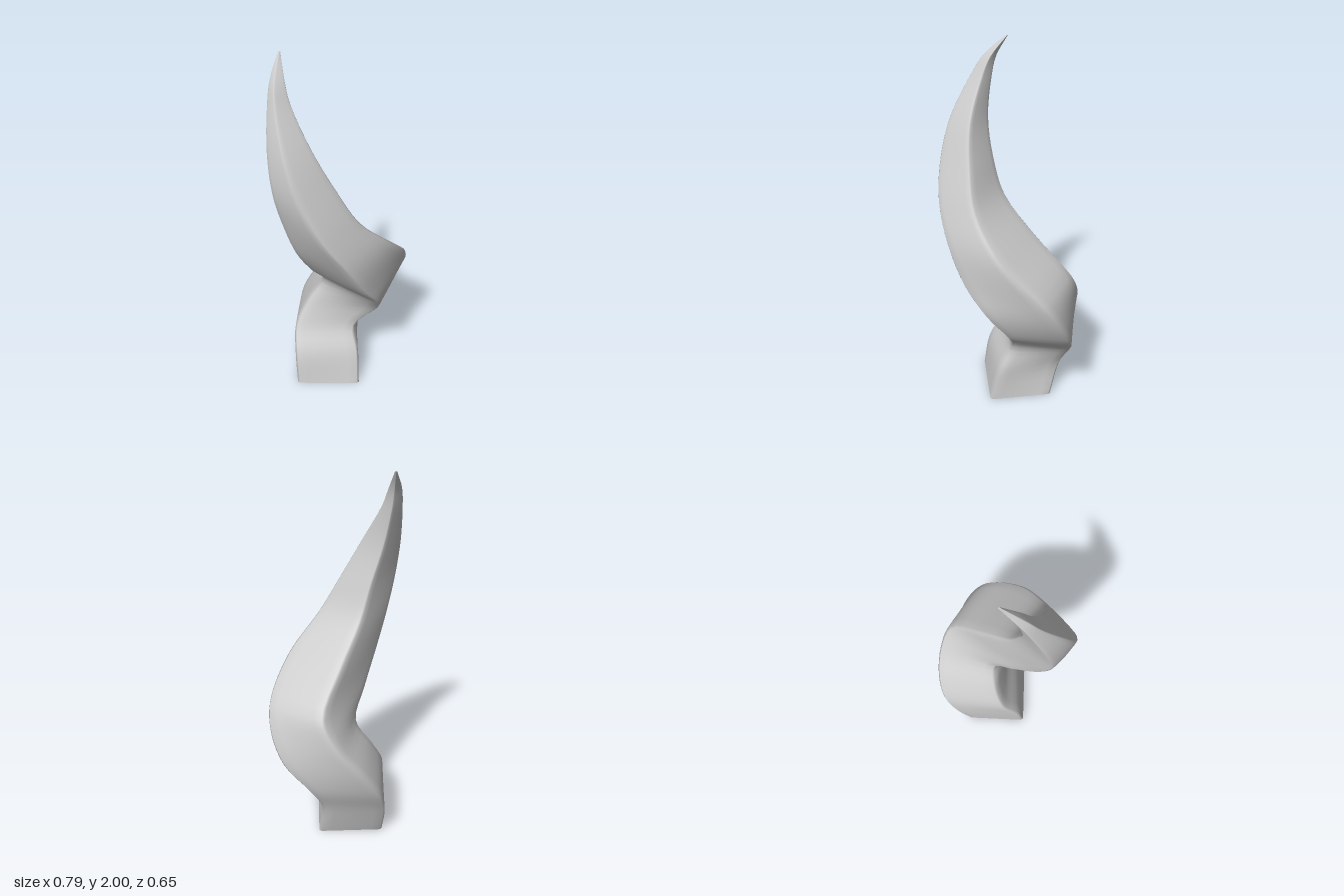
import * as THREE from 'three';

// Four-sided sections by height: y, then x, z of the
// front-left, front-right, back-right and back-left corners
const SECTIONS = [
  [0, 0.235, 0.03, -0.05, 0.235, -0.262, -0.06, 0.025, -0.262],
  [0.2, 0.262, -0.02, -0.01, 0.198, -0.237, -0.09, 0.085, -0.313],
  [0.35, 0.34, 0.02, 0.03, 0.14, -0.165, -0.14, 0.158, -0.325],
  [0.5, 0.395, 0.14, 0.07, 0.25, -0.082, -0.115, 0.24, -0.265],
  [0.65, 0.377, 0.235, -0.02, 0.322, -0.025, -0.05, 0.302, -0.155],
  [0.8, 0.3, 0.3, -0.145, 0.32, -0.145, -0.035, 0.3, -0.06],
  [1.0, 0.085, 0.325, -0.26, 0.285, -0.28, -0.03, 0.103, -0.033],
  [1.2, -0.105, 0.25, -0.36, 0.2, -0.347, -0.05, -0.085, -0.032],
  [1.4, -0.185, 0.16, -0.398, 0.105, -0.387, -0.072, -0.165, -0.05],
  [1.6, -0.235, 0.06, -0.384, 0.015, -0.366, -0.108, -0.215, -0.09],
  [1.8, -0.235, -0.06, -0.316, -0.085, -0.3, -0.147, -0.215, -0.133],
  [1.9, -0.212, -0.11, -0.264, -0.128, -0.25, -0.167, -0.199, -0.153],
  [2.0, -0.151, -0.179, -0.159, -0.179, -0.159, -0.187, -0.151, -0.187],
];
const RINGS = 48;
const STEPS = [0.035, 0.18, 0.5, 0.82, 0.965]; // points along each side

// Rings spanned between the four edge curves, their sides swelling with height
function makeRings() {
  const edges = [1, 3, 5, 7].map((k) => new THREE.CatmullRomCurve3(
    SECTIONS.map((s) => new THREE.Vector3(s[k], s[0], s[k + 1]))));
  const rings = [];
  for (let j = 0; j <= RINGS; j++) {
    const corners = edges.map((edge) => edge.getPoint(j / RINGS));
    const centre = new THREE.Vector3();
    corners.forEach((p) => centre.addScaledVector(p, 0.25));
    const swell = 0.06 * Math.min(1, centre.y / 1.2);
    const ring = [];
    corners.forEach((p, i) => {
      for (const f of STEPS) {
        const q = p.clone().lerp(corners[(i + 1) % 4], f).sub(centre);
        ring.push(q.multiplyScalar(1 + swell * 4 * f * (1 - f)).add(centre));
      }
    });
    rings.push(ring);
  }
  return rings;
}

function geometryFrom(points, index) {
  const geometry = new THREE.BufferGeometry().setFromPoints(points);
  geometry.setIndex(index);
  geometry.computeVertexNormals();
  return geometry;
}

// Smooth skin joining the rings
function skin(rings) {
  const n = rings[0].length;
  const index = [];
  for (let j = 0; j < rings.length - 1; j++) {
    for (let i = 0; i < n; i++) {
      const a = j * n + i;
      const c = j * n + (i + 1) % n;
      index.push(a, a + n, c, a + n, c + n, c);
    }
  }
  return geometryFrom(rings.flat(), index);
}

// Flat cap over one ring
function cap(ring, flip) {
  const index = [];
  for (let i = 1; i < ring.length - 1; i++) {
    if (flip) index.push(0, i + 1, i);
    else index.push(0, i, i + 1);
  }
  return geometryFrom(ring, index);
}

export function createModel() {
  const group = new THREE.Group();
  group.name = 'twistedHorn';
  const material = new THREE.MeshStandardMaterial({ color: 0xcccccc });
  const rings = makeRings();
  const add = (name, geometry) => {
    const mesh = new THREE.Mesh(geometry, material);
    mesh.name = name;
    group.add(mesh);
  };
  add('hornBody', skin(rings));
  add('hornBase', cap(rings[0], false));
  add('hornTip', cap(rings[RINGS], true));
  return group;
}
